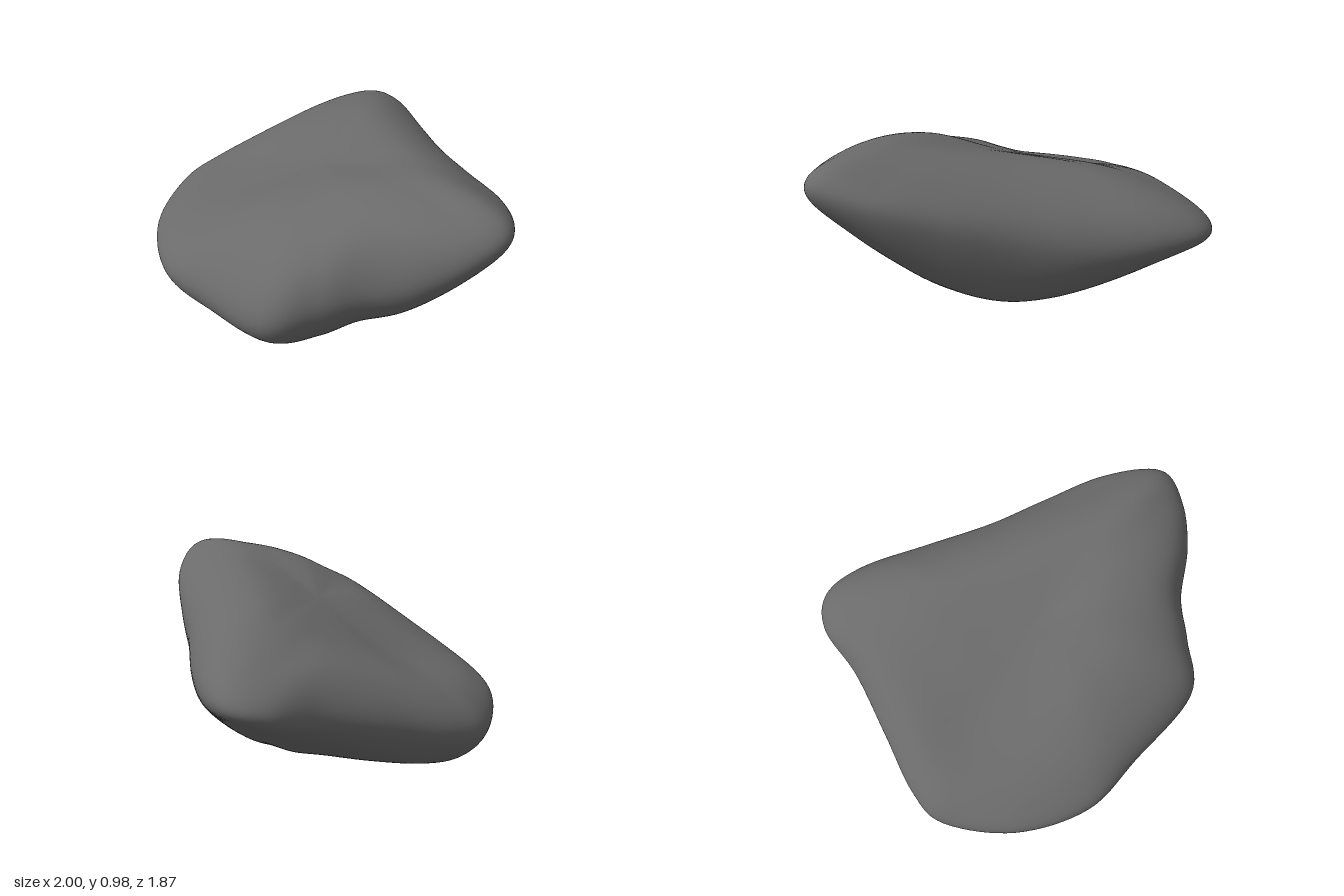
import * as THREE from 'three';

// Outline stations round the stone: rim x, z, y, then the heights of
// upper inner, upper outer, lower outer and lower inner points.
const STATIONS = [
  [1, .27, .86, .96, .965, .63, .24],
  [.92, .44, .8, .95, .93, .56, .215],
  [.75, .57, .7, .93, .89, .45, .18],
  [.53, .66, .6, .895, .84, .36, .14],
  [.37, .79, .53, .85, .75, .29, .11],
  [.16, .93, .45, .79, .65, .25, .08],
  [-.25, .84, .36, .72, .55, .18, .045],
  [-.58, .75, .33, .64, .47, .16, .025],
  [-.86, .49, .32, .585, .45, .15, .02],
  [-1, .15, .3, .575, .46, .12, .02],
  [-.95, -.06, .33, .605, .5, .14, .04],
  [-.78, -.32, .41, .675, .59, .21, .07],
  [-.6, -.6, .49, .74, .67, .31, .115],
  [-.49, -.85, .55, .78, .68, .4, .16],
  [-.33, -.94, .58, .81, .71, .44, .185],
  [-.12, -.86, .58, .84, .735, .4, .155],
  [.15, -.64, .56, .865, .75, .32, .11],
  [.4, -.4, .6, .89, .79, .28, .1],
  [.64, -.2, .68, .915, .83, .36, .13],
  [.87, .02, .79, .94, .89, .52, .185],
];
const CENTRE = { x: -.05, z: .1 };
const TOP = { y: .79, gx: .39, gz: -.12 };    // height and slope at the middle of the top
const BOTTOM = { y: .017, gx: .17, gz: -.1 };
const AROUND = 160, DOWN = 72, INNER = .5, OUTER = .86;

// Catmull-Rom blend of four equal-length arrays
function blend(a, b, c, d, t) {
  return b.map((p, i) => p + .5 * t * (c[i] - a[i]
    + t * (2 * a[i] - 5 * p + 4 * c[i] - d[i] + t * (3 * (p - c[i]) + d[i] - a[i]))));
}

// Station at any fraction of the way round
function stationAt(f) {
  const n = STATIONS.length, k = Math.floor(f * n);
  const s = (i) => STATIONS[(i + n) % n];
  return blend(s(k - 1), s(k), s(k + 1), s(k + 2), f * n - k);
}

// Meridian control points [reach, y] from top pole over the rim to bottom pole,
// with an extra point at each end that sets the slope at the pole
function meridian([x, z, y, t1, t2, b2, b1]) {
  const dx = x - CENTRE.x, dz = z - CENTRE.z;
  const phantom = (pole, h) =>
    [-INNER, h - 2 * INNER * (pole.gx * dx + pole.gz * dz)];
  return [phantom(TOP, t1), [0, TOP.y], [INNER, t1], [OUTER, t2], [1, y],
    [OUTER, b2], [INNER, b1], [0, BOTTOM.y], phantom(BOTTOM, b1)];
}

function stoneGeometry() {
  const pos = [CENTRE.x, TOP.y, CENTRE.z, CENTRE.x, BOTTOM.y, CENTRE.z];
  const index = [];
  const id = (i, j) => (j === 0 ? 0 : j === DOWN ? 1
    : 2 + (i % AROUND) * (DOWN - 1) + j - 1);
  for (let i = 0; i < AROUND; i++) {
    const s = stationAt(i / AROUND), m = meridian(s);
    for (let j = 1; j < DOWN; j++) {
      const u = (j / DOWN) * 6, k = Math.floor(u);
      const [r, y] = blend(m[k], m[k + 1], m[k + 2], m[k + 3], u - k);
      pos.push(CENTRE.x + (s[0] - CENTRE.x) * r, Math.max(0, y), CENTRE.z + (s[1] - CENTRE.z) * r);
    }
    for (let j = 0; j < DOWN; j++) {
      const a = id(i, j), b = id(i + 1, j), c = id(i, j + 1), d = id(i + 1, j + 1);
      if (j > 0) index.push(a, b, c);
      if (j < DOWN - 1) index.push(b, d, c);
    }
  }
  const g = new THREE.BufferGeometry();
  g.setAttribute('position', new THREE.Float32BufferAttribute(pos, 3));
  g.setIndex(index);
  g.computeVertexNormals();
  return g;
}

export function createModel() {
  const group = new THREE.Group();
  group.name = 'smoothStone';
  const stone = new THREE.Mesh(stoneGeometry(),
    new THREE.MeshStandardMaterial({ color: 0x6a6a6a }));
  stone.name = 'stone';
  group.add(stone);
  return group;
}
